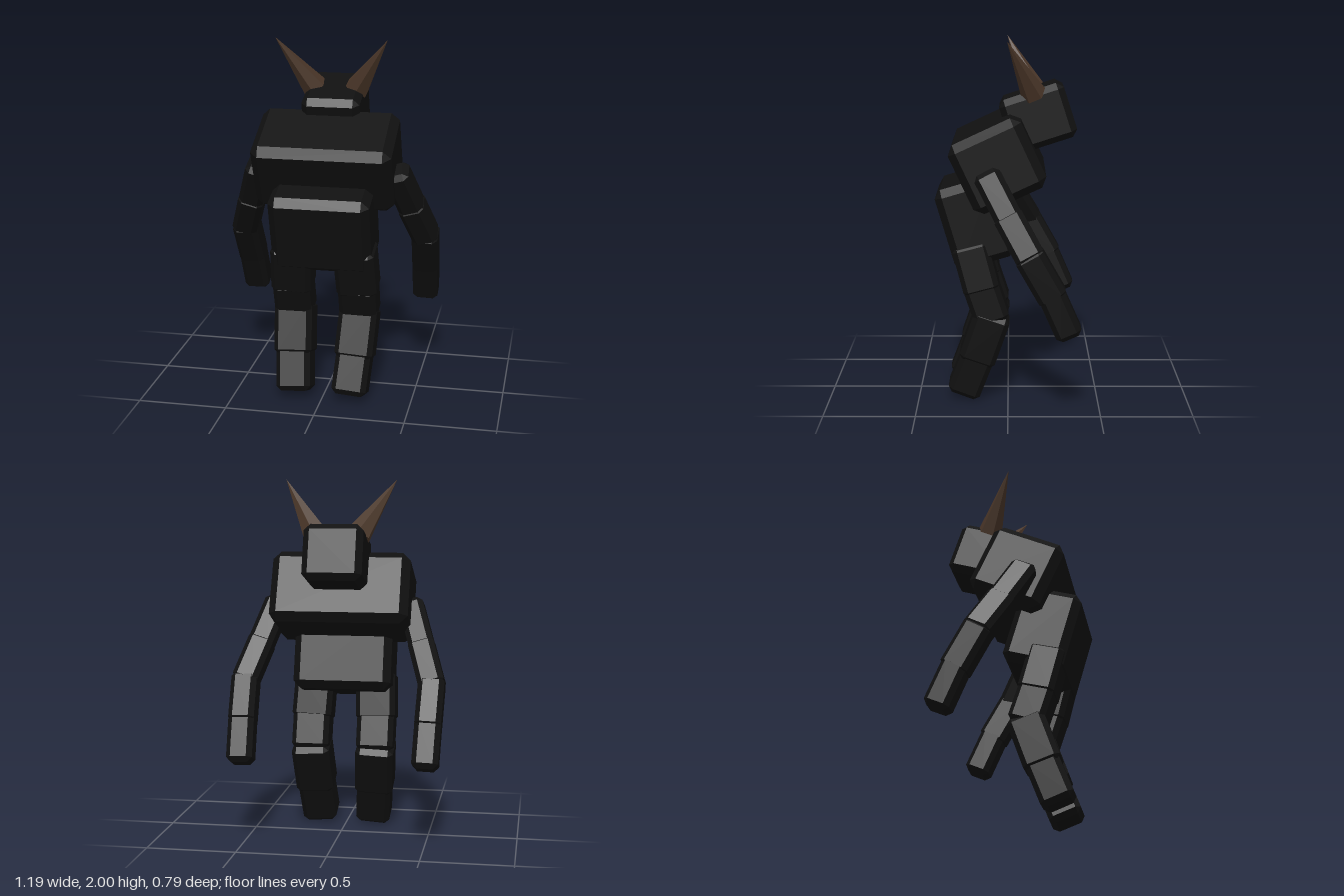
import * as THREE from 'three';
import { ConvexGeometry } from 'three/addons/geometries/ConvexGeometry.js';

const hide = new THREE.MeshStandardMaterial({ color: 0x101010 });
hide.name = 'black hide';
const horn = new THREE.MeshStandardMaterial({ color: 0x4a3628 });
horn.name = 'brown horn';

// Box with every edge and corner cut flat by c
function chamferBox(w, h, d, c) {
  const pts = [];
  for (const x of [-1, 1]) for (const y of [-1, 1]) for (const z of [-1, 1]) {
    for (let k = 0; k < 3; k++) {
      pts.push(new THREE.Vector3(
        x * (w / 2 - (k === 0 ? 0 : c)),
        y * (h / 2 - (k === 1 ? 0 : c)),
        z * (d / 2 - (k === 2 ? 0 : c))));
    }
  }
  return new ConvexGeometry(pts);
}

// Body block leaning by tilt degrees about x
function block(name, [w, h, d], c, [x, y, z], tilt) {
  const mesh = new THREE.Mesh(chamferBox(w, h, d, c), hide);
  mesh.name = name;
  mesh.position.set(x, y, z);
  mesh.rotation.x = THREE.MathUtils.degToRad(tilt);
  return mesh;
}

// Chain of chamfered blocks along joints; sizes are [width, depth] per segment
function limb(name, segmentNames, joints, sizes, side) {
  const group = new THREE.Group();
  group.name = name;
  const down = new THREE.Vector3(0, -1, 0);
  const pts = joints.map(([x, y, z]) => new THREE.Vector3(x * side, y, z));
  sizes.forEach(([w, d], i) => {
    const dir = pts[i + 1].clone().sub(pts[i]);
    const length = dir.length();
    dir.normalize();
    // overlap the neighbouring segments a little, except at the tip
    const start = pts[i].clone().addScaledVector(dir, -0.03);
    const end = pts[i + 1].clone().addScaledVector(dir, i < sizes.length - 1 ? 0.03 : 0);
    const mesh = new THREE.Mesh(chamferBox(w, start.distanceTo(end), d, Math.min(0.028, length / 4)), hide);
    mesh.name = segmentNames[i];
    mesh.position.copy(start).add(end).multiplyScalar(0.5);
    mesh.quaternion.setFromUnitVectors(down, dir);
    group.add(mesh);
  });
  return group;
}

function hornMesh(name, side) {
  const base = new THREE.Vector3(side * 0.12, 1.705, -0.14);
  const tip = new THREE.Vector3(side * 0.31, 2.0, 0.005);
  const dir = tip.clone().sub(base);
  const geo = new THREE.ConeGeometry(0.072, dir.length(), 6).toNonIndexed();
  geo.computeVertexNormals();
  const mesh = new THREE.Mesh(geo, horn);
  mesh.name = name;
  mesh.position.copy(base).add(tip).multiplyScalar(0.5);
  mesh.quaternion.setFromUnitVectors(new THREE.Vector3(0, 1, 0), dir.normalize());
  return mesh;
}

export function createModel() {
  const model = new THREE.Group();
  model.name = 'hornedBeast';

  // Head and torso
  model.add(
    block('head', [0.325, 0.31, 0.37], 0.035, [-0.002, 1.573, -0.164], 18),
    block('chest', [0.77, 0.41, 0.43], 0.045, [-0.006, 1.342, 0.058], 25),
    block('belly', [0.555, 0.46, 0.345], 0.042, [-0.002, 1.013, 0.18], 16.4));

  for (const [label, side] of [['left', 1], ['right', -1]]) {
    model.add(hornMesh(label + 'Horn', side));

    // Arms hang down and away behind the body
    model.add(limb(label + 'Arm', ['shoulder', 'upperArm', 'forearm', 'hand'],
      [[0.385, 1.29, 0.106], [0.455, 1.085, -0.005], [0.522, 0.89, -0.116],
        [0.515, 0.683, -0.233], [0.508, 0.456, -0.333]],
      [[0.14, 0.15], [0.145, 0.16], [0.145, 0.16], [0.145, 0.145]], side));

    // Bent legs
    model.add(limb(label + 'Leg', ['thigh', 'knee', 'shin', 'foot'],
      [[0.175, 0.87, 0.205], [0.185, 0.65, 0.147], [0.185, 0.48, 0.09],
        [0.172, 0.25, 0.17], [0.155, 0.03, 0.254]],
      [[0.225, 0.2], [0.21, 0.195], [0.215, 0.205], [0.195, 0.185]], side));
  }
  return model;
}
